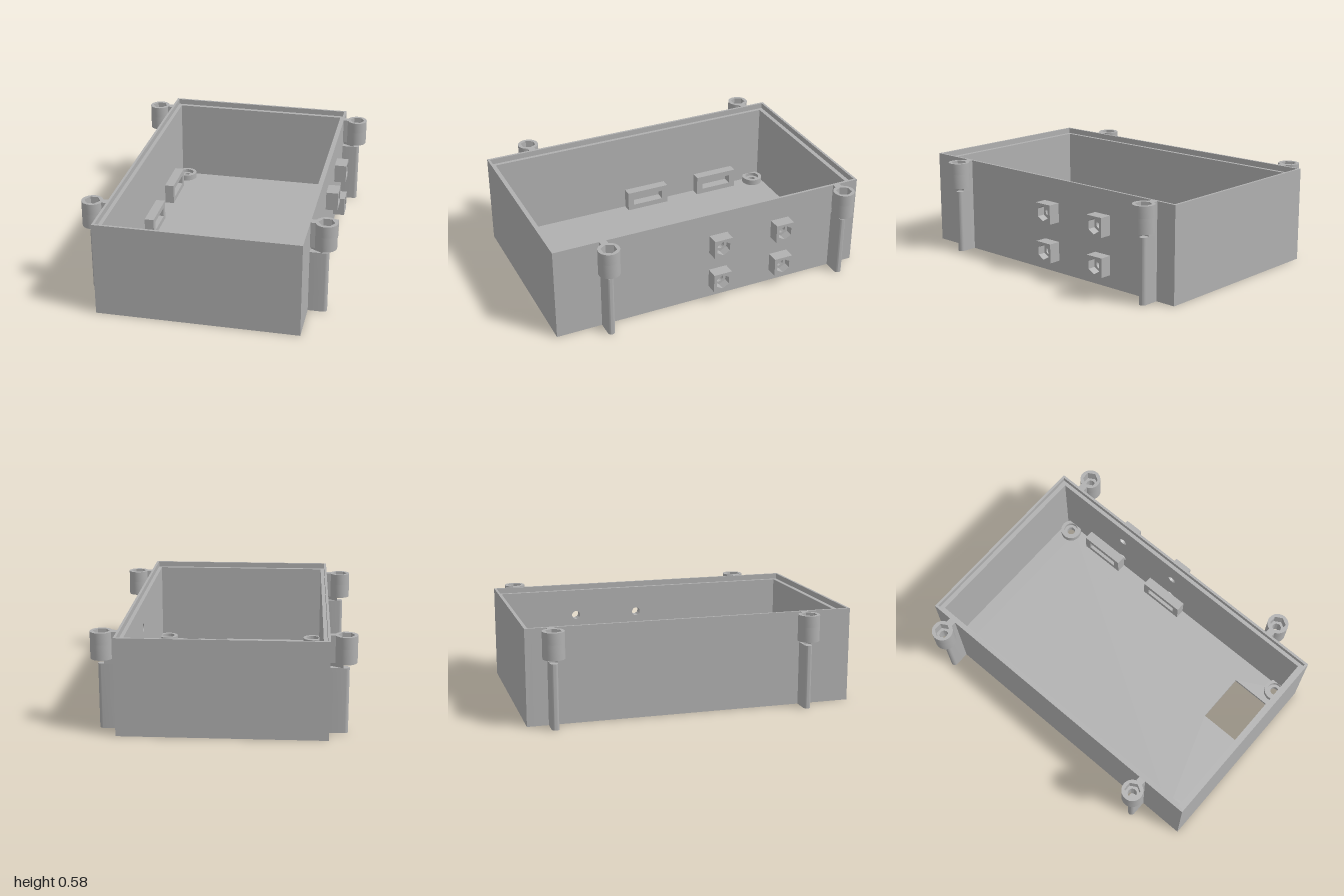
import * as THREE from 'three';
import { toCreasedNormals } from 'three/addons/utils/BufferGeometryUtils.js';

const W = 0.605, L = 1, H = 0.58;        // outer half width, half length, height
const IW = 0.567, IL = 0.957;            // inner half width, half length
const FLOOR = 0.02, LEDGE = 0.545;       // floor thickness, ledge height
const BORE = 0.027, HEX = 0.048;         // screw bore and nut pocket radii

// ---- outline helpers ----
function rect(x0, y0, x1, y1) {
  return new THREE.Shape([[x0, y0], [x1, y0], [x1, y1], [x0, y1]].map(p => new THREE.Vector2(...p)));
}
function ngon(x, y, r, n, turn = 0) {
  const pts = [];
  for (let i = 0; i < n; i++) {
    const a = turn + (i / n) * Math.PI * 2;
    pts.push(new THREE.Vector2(x + r * Math.cos(a), y + r * Math.sin(a)));
  }
  return new THREE.Shape(pts);
}
const circle = (x, y, r) => ngon(x, y, r, 32);
function cut(shape, ...holes) {
  shape.holes.push(...holes);
  return shape;
}
function extrude(shape, depth) {
  return new THREE.ExtrudeGeometry(shape, { depth, bevelEnabled: false });
}
// outline in (x, -z), raised from y0 to y1
function upright(shape, y0, y1) {
  const g = extrude(shape, y1 - y0).rotateX(-Math.PI / 2).translate(0, y0, 0);
  return toCreasedNormals(g, 0.6);
}
// outline in (-z, y), pushed from x0 to x1
function sideways(shape, x0, x1) {
  const g = extrude(shape, x1 - x0).rotateY(Math.PI / 2).translate(x0, 0, 0);
  return toCreasedNormals(g, 0.6);
}

export function createModel() {
  const model = new THREE.Group();
  model.name = 'enclosure';
  const grey = new THREE.MeshStandardMaterial({ color: 0xb0b0b0 });
  grey.name = 'grey plastic';

  function add(parent, name, geometry) {
    const mesh = new THREE.Mesh(geometry, grey);
    mesh.name = name;
    parent.add(mesh);
    return mesh;
  }
  function box(parent, name, x0, x1, y0, y1, z0, z1) {
    const g = new THREE.BoxGeometry(x1 - x0, y1 - y0, z1 - z0);
    g.translate((x0 + x1) / 2, (y0 + y1) / 2, (z0 + z1) / 2);
    return add(parent, name, g);
  }

  // Floor with corner screw holes and a rectangular opening
  const corners = [];
  for (const x of [-0.52, 0.52]) for (const z of [-0.89, 0.89]) corners.push([x, z]);
  const floor = cut(rect(-IW, -IL, IW, IL), ...corners.map(([x, z]) => circle(x, -z, 0.026)));
  floor.holes.push(rect(0.095, -0.954, 0.418, -0.65));
  add(model, 'floor', upright(floor, 0, FLOOR));

  // Raised rings around the corner screw holes
  for (const [x, z] of corners) {
    add(model, 'screwBoss', upright(cut(circle(x, -z, 0.067), circle(x, -z, 0.026)), FLOOR, 0.035));
    add(model, 'screwBossRim', upright(cut(circle(x, -z, 0.067), circle(x, -z, 0.045)), 0.035, 0.058));
  }

  // Side ports: two columns, two rows
  const ports = [];
  for (const z of [-0.46, -0.043]) for (const y of [0.135, 0.375]) ports.push([z, y]);

  // Walls, the one on +x drilled for the ports
  box(model, 'frontWall', -W, W, 0, LEDGE, IL, L);
  box(model, 'backWall', -W, W, 0, LEDGE, -L, -IL);
  box(model, 'rightWall', -W, -IW, 0, LEDGE, -IL, IL);
  const drilled = cut(rect(-IL, 0, IL, LEDGE), ...ports.map(([z, y]) => circle(-z, y, BORE)));
  add(model, 'leftWall', sideways(drilled, IW, W));

  // Thin lip above the inner ledge
  add(model, 'lip', upright(cut(rect(-W, -L, W, L), rect(-0.59, -0.985, 0.59, 0.985)), LEDGE, H));

  // Square nut holders with a hexagonal pocket
  for (const [z, y] of ports) {
    const square = () => rect(-z - 0.059, y - 0.059, -z + 0.059, y + 0.059);
    add(model, 'nutHolderBase', sideways(cut(square(), circle(-z, y, BORE)), W, 0.63));
    add(model, 'nutHolder', sideways(cut(square(), ngon(-z, y, HEX, 6, Math.PI / 2)), 0.63, 0.68));
  }

  // Strap loops standing on the floor along both long walls
  for (const x0 of [-IW, 0.507]) {
    for (const z of [-0.595, -0.075]) {
      const frame = cut(rect(-z - 0.145, FLOOR, -z + 0.145, 0.15),
        rect(-z - 0.105, 0.055, -z + 0.105, 0.115));
      add(model, 'strapLoop', sideways(frame, x0, x0 + 0.06));
    }
  }

  // Outer lid posts: rib with rounded edge, carrying a nut cup
  const px = 0.695, half = 0.022;
  const rib = new THREE.Shape();
  rib.moveTo(W, -half);
  rib.lineTo(px, -half);
  rib.absarc(px, 0, half, -Math.PI / 2, Math.PI / 2, false);
  rib.lineTo(W, half);
  const a = Math.asin(half / BORE);
  const neck = new THREE.Shape();
  neck.moveTo(W, -half);
  neck.absarc(px, 0, BORE, Math.PI + a, Math.PI - a, true);
  neck.lineTo(W, half);

  function post(z, turn) {
    const side = new THREE.Group();
    side.name = 'lidPost';
    add(side, 'rib', upright(rib, 0, 0.39));
    add(side, 'neck', upright(neck, 0.39, 0.42));
    box(side, 'web', W, 0.64, 0.42, H, -half, half);
    add(side, 'cupBase', upright(cut(circle(px, 0, 0.065), circle(px, 0, BORE)), 0.42, 0.51));
    add(side, 'nutCup', upright(cut(circle(px, 0, 0.065), ngon(px, 0, HEX, 6)), 0.51, H));
    side.position.z = z;
    side.rotation.y = turn;
    model.add(side);
  }
  for (const z of [-0.85, 0.695]) for (const turn of [0, Math.PI]) post(z, turn);

  return model;
}
